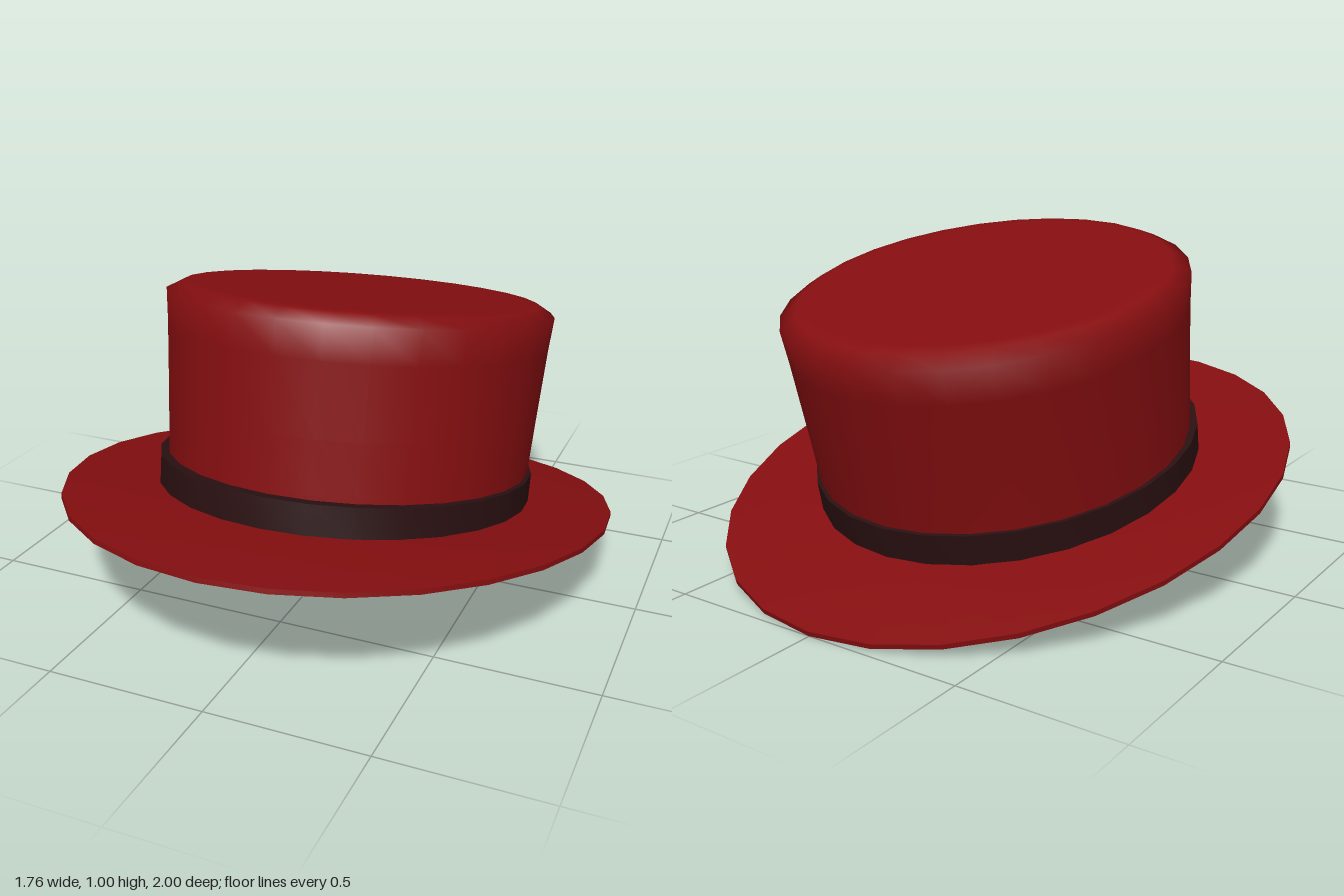
import * as THREE from 'three';
import { mergeVertices, toCreasedNormals } from 'three/addons/utils/BufferGeometryUtils.js';

const SEGMENTS = 28;
const TILT = 0.2;

// Oval lathe: profile radii run along z, narrowed in x, with an optional lift per vertex
function oval(profile, xRatio, centreZ, crease, lift = () => 0) {
  const points = profile.map(([r, y]) => new THREE.Vector2(r, y));
  let geo = new THREE.LatheGeometry(points, SEGMENTS);
  const p = geo.attributes.position;
  for (let i = 0; i < p.count; i++) {
    const x = p.getX(i), z = p.getZ(i);
    const y = p.getY(i) + lift(Math.hypot(x, z), Math.atan2(x, z));
    p.setXYZ(i, x * xRatio, y, z + centreZ);
  }
  // Weld the seam so the shading runs all the way round
  geo.deleteAttribute('uv');
  geo.deleteAttribute('normal');
  geo = mergeVertices(geo, 1e-4);
  geo.computeVertexNormals();
  return crease ? toCreasedNormals(geo, crease) : geo;
}

export function createModel() {
  const felt = new THREE.MeshStandardMaterial({ color: 0x850e10 });
  felt.name = 'red felt';
  const ribbon = new THREE.MeshStandardMaterial({ color: 0x2a1011 });
  ribbon.name = 'dark ribbon';

  const hat = new THREE.Group();
  hat.name = 'hat';
  hat.rotation.x = -TILT;

  const add = (name, geo, mat) => {
    const mesh = new THREE.Mesh(geo, mat);
    mesh.name = name;
    hat.add(mesh);
  };

  // Brim rises slightly at the sides
  const sideLift = (r, a) => 0.035 * Math.sin(a) ** 2 * Math.max(0, (r - 0.6) / 0.42);
  add('brimTop', oval(
    [[1.02, 0.2], [1.02, 0.215], [0.85, 0.238], [0.6, 0.255]],
    0.863, 0.04, 0.8, sideLift), felt);

  // Underside closes the hat, with a gently waved lower ring
  const underLift = (r, a) => r > 0.9 ? sideLift(r, a)
    : r > 0.5 ? 0.015 * (1 - Math.cos(4 * a)) : 0;
  add('brimUnderside', oval(
    [[0, 0.205], [0.77, 0.165], [1.02, 0.2]],
    0.863, 0.04, 0, underLift), felt);

  // Crown flares upward to a softly bevelled flat top
  add('crown', oval(
    [[0.625, 0.24], [0.63, 0.36], [0.64, 0.53], [0.655, 0.76], [0.665, 0.867],
      [0.61, 0.897], [0.56, 0.899], [0, 0.899]],
    0.945, 0.014, 0), felt);

  // Ribbon band around the base of the crown
  add('band', oval(
    [[0.655, 0.235], [0.657, 0.348], [0.61, 0.348]],
    0.93, 0.028, 0.6), ribbon);

  const model = new THREE.Group();
  model.name = 'tiltedHat';
  model.add(hat);
  return model;
}
